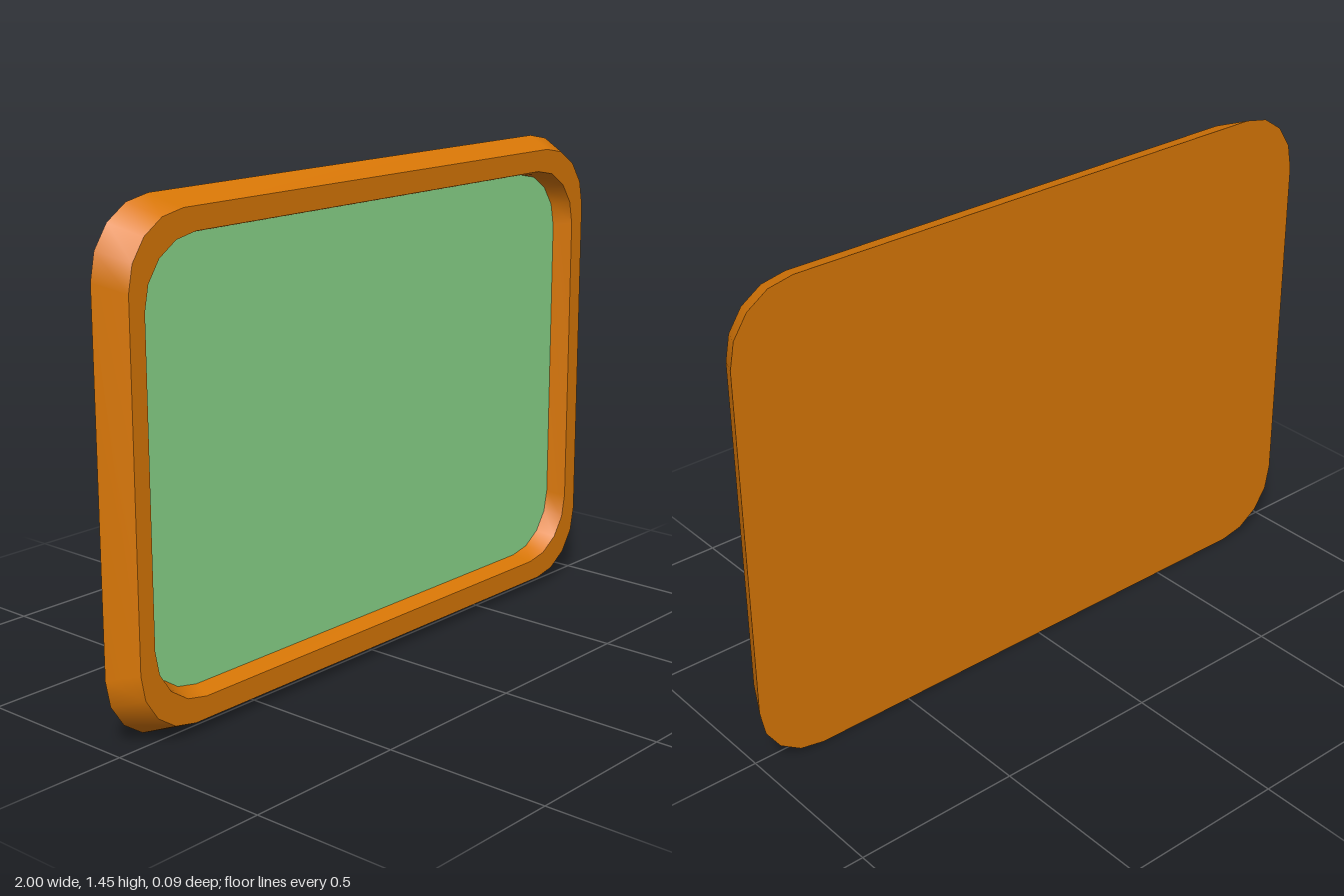
import * as THREE from 'three';

const CENTER_Y = 0.725;
const CORNER_STEPS = 4;

// Rounded rectangle outline, counter-clockwise seen from the front
function outline(halfW, halfH) {
  const r = 0.2 * halfW;
  const points = [];
  const corners = [[1, 1], [-1, 1], [-1, -1], [1, -1]];
  corners.forEach(([sx, sy], q) => {
    for (let i = 0; i <= CORNER_STEPS; i++) {
      const a = (q + i / CORNER_STEPS) * Math.PI / 2;
      points.push(new THREE.Vector2(
        sx * (halfW - r) + r * Math.cos(a),
        sy * (halfH - r) + r * Math.sin(a)));
    }
  });
  return points;
}

// Closed strip joining two outlines; a and b are { w, h, z }
function band(a, b) {
  const loops = [a, b].map(l => outline(l.w, l.h));
  const n = loops[0].length;
  const positions = [];
  const index = [];
  loops.forEach((loop, k) => loop.forEach(p => positions.push(p.x, p.y, k ? b.z : a.z)));
  for (let i = 0; i < n; i++) {
    const j = (i + 1) % n;
    index.push(i, j, n + j, i, n + j, n + i);
  }
  const geometry = new THREE.BufferGeometry();
  geometry.setAttribute('position', new THREE.Float32BufferAttribute(positions, 3));
  geometry.setIndex(index);
  geometry.computeVertexNormals();
  return geometry;
}

// Flat filled outline facing +z
function plate({ w, h, z }) {
  return new THREE.ShapeGeometry(new THREE.Shape(outline(w, h))).translate(0, 0, z);
}

export function createModel() {
  const model = new THREE.Group();
  model.name = 'framedBoard';

  const orange = new THREE.MeshStandardMaterial({ color: 0xd97706 });
  const green = new THREE.MeshStandardMaterial({ color: 0x8bd98b });

  const add = (name, geometry, material) => {
    const mesh = new THREE.Mesh(geometry, material);
    mesh.name = name;
    mesh.position.y = CENTER_Y;
    model.add(mesh);
  };

  // Outlines from the back edge, over the front rim, down to the recessed panel
  const back = { w: 1, h: 0.725, z: -0.045 };
  const rimOuter = { w: 0.957, h: 0.692, z: 0.045 };
  const rimInner = { w: 0.905, h: 0.628, z: 0.045 };
  const recess = { w: 0.885, h: 0.614, z: -0.012 };

  // Frame: sloping sides, flat front rim, sloping inner walls
  add('outerSides', band(back, rimOuter), orange);
  add('frontRim', band(rimOuter, rimInner), orange);
  add('innerWalls', band(rimInner, recess), orange);

  // Back plate, turned to face -z
  add('backPlate', plate({ ...back, z: 0.045 }).rotateY(Math.PI), orange);

  // Recessed panel
  add('panel', plate(recess), green);

  return model;
}
